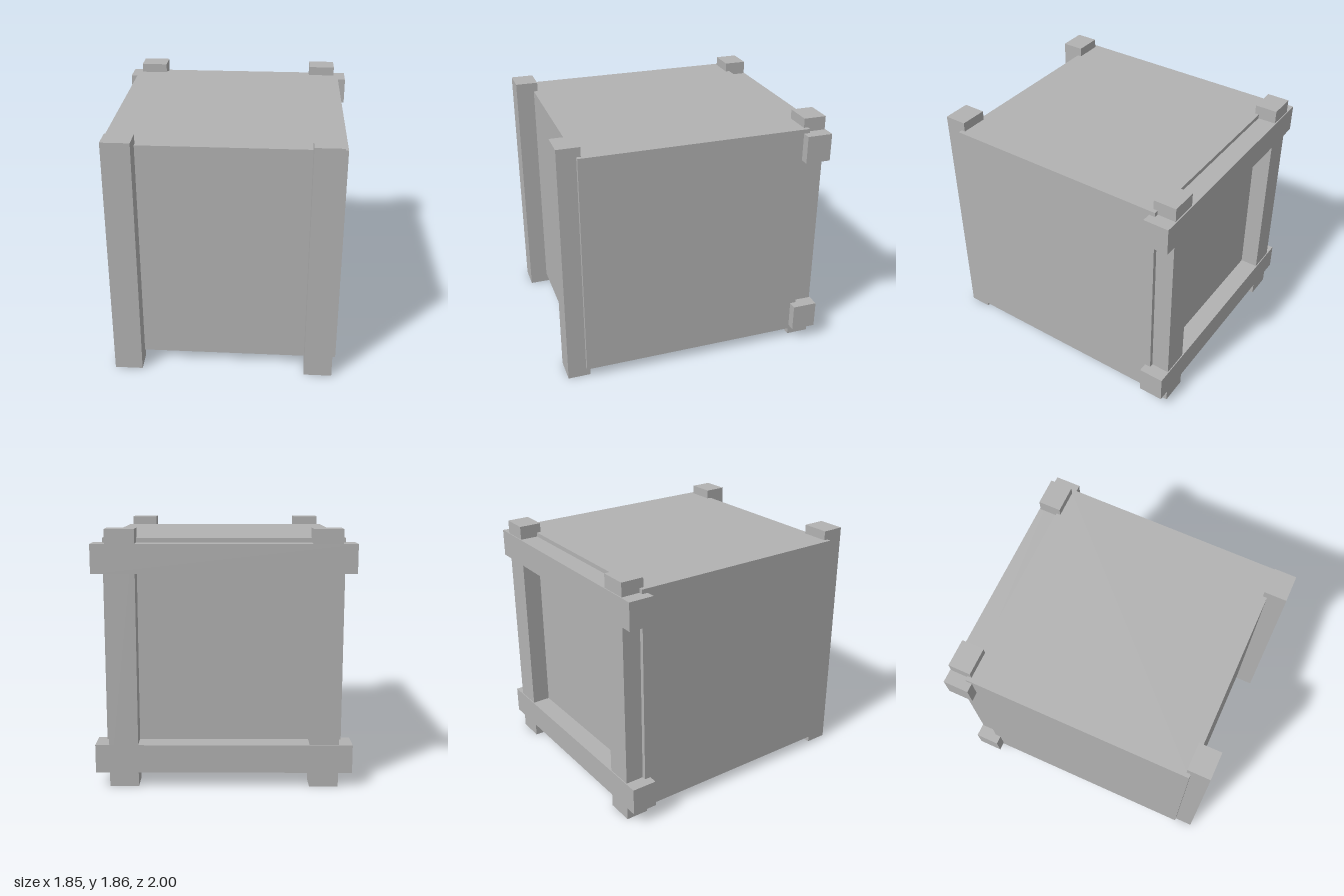
import * as THREE from 'three';

export function createModel() {
  const crate = new THREE.Group();
  crate.name = 'crate';
  const grey = new THREE.MeshStandardMaterial({ color: 0xb2b2b2 });
  grey.name = 'plain grey';

  // Box given by its extents along each axis
  function box(name, [x0, x1], [y0, y1], [z0, z1]) {
    const mesh = new THREE.Mesh(new THREE.BoxGeometry(x1 - x0, y1 - y0, z1 - z0), grey);
    mesh.name = name;
    mesh.position.set((x0 + x1) / 2, (y0 + y1) / 2, (z0 + z1) / 2);
    crate.add(mesh);
  }

  // Main body
  box('crateBody', [-0.857, 0.857], [0.073, 1.787], [-0.855, 0.862]);

  // Upright battens, front and back, on both sides
  for (const [side, x] of [['left', [0.617, 0.825]], ['right', [-0.825, -0.617]]]) {
    box(side + 'FrontBatten', x, [0, 1.857], [0.83, 1]);
    box(side + 'BackBatten', x, [0, 1.857], [-0.993, -0.823]);
  }

  // Horizontal rails across the back
  box('lowerBackRail', [-0.925, 0.925], [0.107, 0.313], [-1, -0.81]);
  box('upperBackRail', [-0.925, 0.925], [1.548, 1.755], [-1, -0.81]);

  return crate;
}
